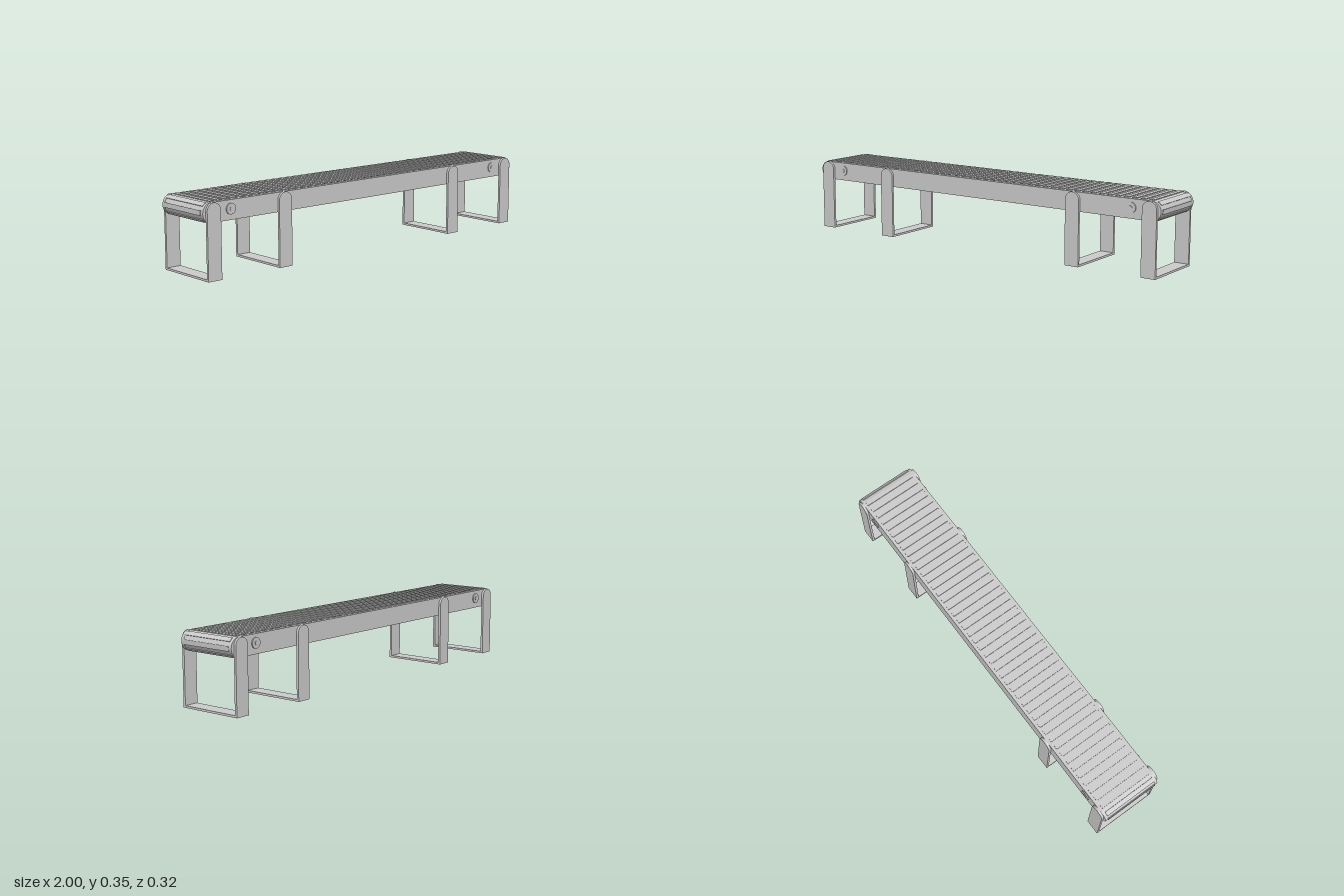
import * as THREE from 'three';

const MID_Y = 0.3;      // height of the belt axis
const END_X = 0.954;    // centre of the rounded ends
const mat = new THREE.MeshStandardMaterial({ color: 0xcccccc });

function add(parent, name, geo, x = 0, y = 0, z = 0) {
  const mesh = new THREE.Mesh(geo, mat);
  mesh.name = name;
  mesh.position.set(x, y, z);
  parent.add(mesh);
  return mesh;
}

const extrude = (shape, depth, curveSegments = 16) =>
  new THREE.ExtrudeGeometry(shape, { depth, curveSegments, bevelEnabled: false });

// Point on a stadium loop: t is the length along it, r the radius of the ends
function loopPoint(t, r, base) {
  const straight = 2 * END_X, arc = Math.PI * base, half = straight + arc;
  const flip = t >= half ? -1 : 1;
  const u = t % half;
  if (u < arc) {
    const a = -Math.PI / 2 + u / base;
    return new THREE.Vector2(flip * (END_X + r * Math.cos(a)), flip * r * Math.sin(a));
  }
  return new THREE.Vector2(flip * (END_X - (u - arc)), flip * r);
}

// Slatted belt: toothed loop, alternately raised and recessed
function beltGeometry() {
  const base = 0.0465, outer = 0.0485, inner = 0.0445, count = 96;
  const total = 4 * END_X + 2 * Math.PI * base, pitch = total / count;
  const pts = [];
  for (let i = 0; i < count; i++) {
    const t = i * pitch + 0.017, e = t + pitch * 0.52;
    pts.push(loopPoint(t % total, inner, base), loopPoint(t % total, outer, base));
    pts.push(loopPoint(e % total, outer, base), loopPoint(e % total, inner, base));
  }
  return extrude(new THREE.Shape(pts), 0.27);
}

function panelGeometry() {
  const r = 0.045, s = new THREE.Shape();
  s.moveTo(-END_X, -r);
  s.lineTo(END_X, -r);
  s.absarc(END_X, 0, r, -Math.PI / 2, Math.PI / 2);
  s.lineTo(-END_X, r);
  s.absarc(-END_X, 0, r, Math.PI / 2, Math.PI * 1.5);
  return extrude(s, 0.0155);
}

// Upright strap with a rounded top
function uprightGeometry() {
  const w = 0.0365, s = new THREE.Shape();
  s.moveTo(-w, 0);
  s.lineTo(w, 0);
  s.lineTo(w, 0.345 - w);
  s.absarc(0, 0.345 - w, w, 0, Math.PI);
  s.lineTo(-w, 0);
  return extrude(s, 0.0115);
}

export function createModel() {
  const model = new THREE.Group();
  model.name = 'conveyor';

  add(model, 'belt', beltGeometry(), 0, MID_Y, -0.135);

  const panel = panelGeometry();
  add(model, 'leftSidePanel', panel, 0, MID_Y, 0.1345);
  add(model, 'rightSidePanel', panel, 0, MID_Y, -0.15);

  // U-shaped leg frames
  const upright = uprightGeometry();
  const foot = new THREE.BoxGeometry(0.073, 0.01, 0.3);
  for (const x of [-0.947, -0.55, 0.55, 0.947]) {
    const leg = new THREE.Group();
    leg.name = 'legFrame';
    leg.position.x = x;
    add(leg, 'frontUpright', upright, 0, 0, 0.15);
    add(leg, 'backUpright', upright, 0, 0, -0.1615);
    add(leg, 'footBar', foot, 0, 0.005, 0);
    model.add(leg);
  }

  // Roller bearing caps on both panels
  const cap = new THREE.CylinderGeometry(0.025, 0.025, 0.006, 24).rotateX(Math.PI / 2);
  const pin = new THREE.CylinderGeometry(0.009, 0.009, 0.004, 16).rotateX(Math.PI / 2);
  for (const x of [-0.85, 0.85]) {
    for (const side of [-1, 1]) {
      add(model, 'bearingCap', cap, x, 0.305, side * 0.152);
      add(model, 'bearingPin', pin, x, 0.305, side * 0.156);
    }
  }
  return model;
}
